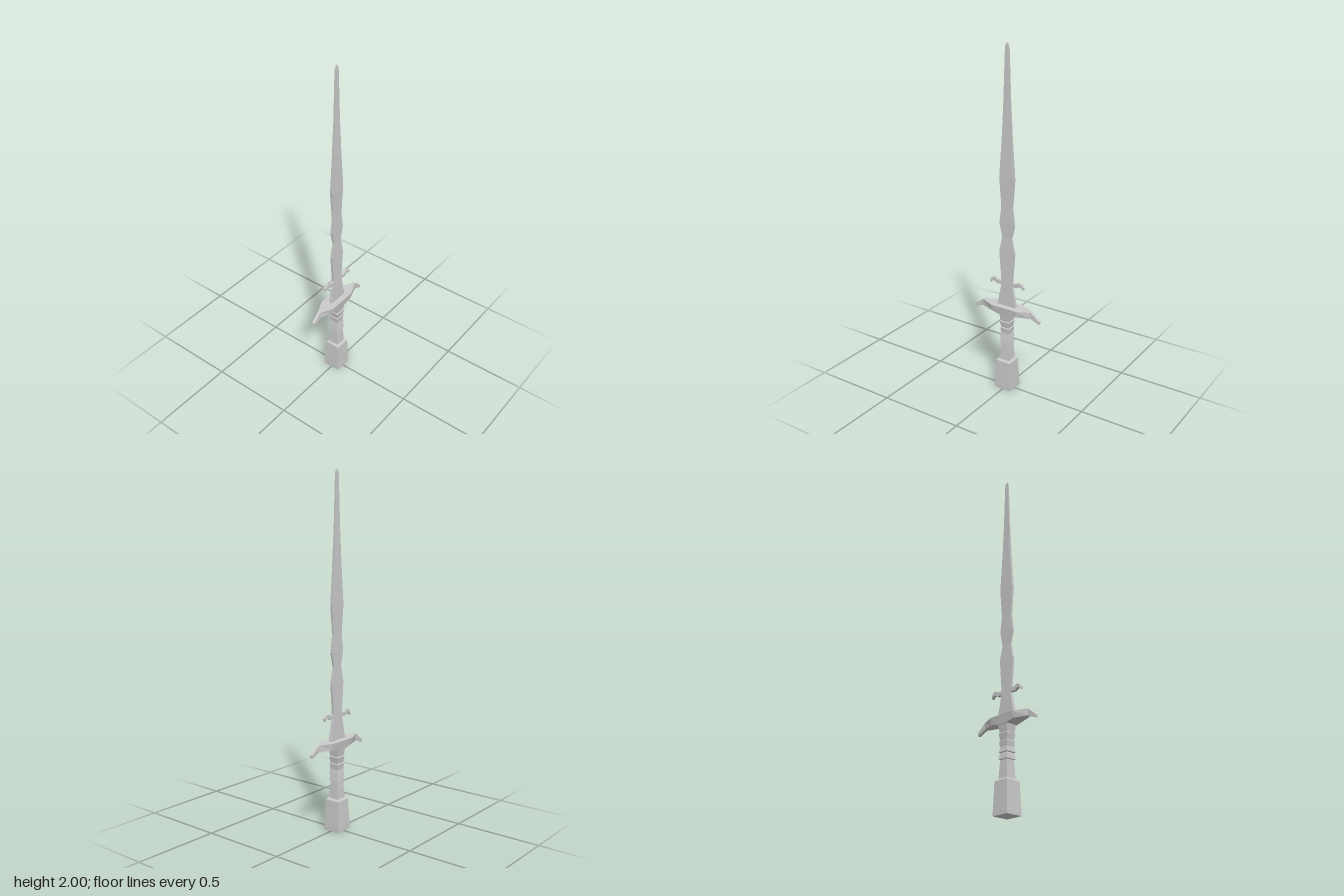
import * as THREE from 'three';

const material = new THREE.MeshStandardMaterial({ color: 0xcccccc, flatShading: true });

// Skins a list of equal-sized rings (counter-clockwise seen from the far end) and caps both ends.
function loft(name, rings) {
  const pos = [];
  const tri = (...pts) => pts.forEach((p) => pos.push(...p));
  const n = rings[0].length;
  for (let i = 0; i < rings.length - 1; i++) {
    for (let j = 0; j < n; j++) {
      const k = (j + 1) % n;
      const [a, b, c, d] = [rings[i][j], rings[i][k], rings[i + 1][k], rings[i + 1][j]];
      tri(a, b, c);
      tri(a, c, d);
    }
  }
  const first = rings[0], last = rings[rings.length - 1];
  for (let j = 1; j < n - 1; j++) {
    tri(first[0], first[j + 1], first[j]);
    tri(last[0], last[j], last[j + 1]);
  }
  const geometry = new THREE.BufferGeometry();
  geometry.setAttribute('position', new THREE.Float32BufferAttribute(pos, 3));
  geometry.computeVertexNormals();
  const mesh = new THREE.Mesh(geometry, material);
  mesh.name = name;
  return mesh;
}

// Rectangular ring at height y with half width w and half depth d.
const level = ([y, w, d = w]) => [[-w, y, d], [w, y, d], [w, y, -d], [-w, y, -d]];

// Trapezoid ring across the guard at position x.
const slice = ([x, top, bottom, dTop, dBottom]) =>
  [[x, bottom, dBottom], [x, bottom, -dBottom], [x, top, -dTop], [x, top, dTop]];

export function createModel() {
  const model = new THREE.Group();
  model.name = 'sword';

  // Square pommel block, with a small bevel on top
  model.add(loft('pommel', [[0, 0.052, 0.05], [0.02, 0.052, 0.05], [0.178, 0.045], [0.186, 0.038]].map(level)));

  // Square grip with stepped wrap bands
  model.add(loft('grip', [
    [0.18, 0.031], [0.24, 0.028], [0.288, 0.025], [0.29, 0.031], [0.325, 0.026],
    [0.328, 0.031], [0.355, 0.026], [0.358, 0.026], [0.388, 0.029], [0.392, 0.025],
    [0.428, 0.031], [0.432, 0.027], [0.485, 0.034],
  ].map(level)));

  // Cross guard: wide middle, drooping tips
  const half = [
    [0.03, 0.525, 0.476, 0.045, 0.038], [0.083, 0.525, 0.487, 0.045, 0.038],
    [0.163, 0.525, 0.487, 0.009, 0.009], [0.217, 0.482, 0.464, 0.009, 0.009],
  ];
  const mirrored = half.map(([x, ...rest]) => [-x, ...rest]).reverse();
  model.add(loft('crossGuard', [...mirrored, ...half].map(slice)));

  // Wavy blade
  model.add(loft('blade', [
    [0.515, 0.062, 0.01], [0.655, 0.034, 0.009], [0.70, 0.036, 0.008], [0.85, 0.049, 0.007],
    [0.94, 0.031, 0.005], [1.02, 0.048, 0.006], [1.12, 0.036, 0.005], [1.28, 0.047, 0.008],
    [1.5, 0.031, 0.007], [1.7, 0.022, 0.004], [1.97, 0.013, 0.003], [1.99, 0.009, 0.003], [2, 0.004, 0.002],
  ].map(level)));

  // Small curved hooks on both sides of the blade
  const outline = [
    [0.02, 0.65], [0.04, 0.651], [0.066, 0.651], [0.085, 0.662], [0.097, 0.66], [0.109, 0.647],
    [0.11, 0.664], [0.098, 0.68], [0.08, 0.685], [0.06, 0.672], [0.04, 0.672], [0.02, 0.675],
  ];
  for (const [name, side] of [['leftHook', 1], ['rightHook', -1]]) {
    const shape = new THREE.Shape(outline.map(([x, y]) => new THREE.Vector2(x * side, y)));
    const geometry = new THREE.ExtrudeGeometry(shape, { depth: 0.018, bevelEnabled: false });
    geometry.translate(0, 0, -0.009);
    const hook = new THREE.Mesh(geometry, material);
    hook.name = name;
    model.add(hook);
  }
  return model;
}
